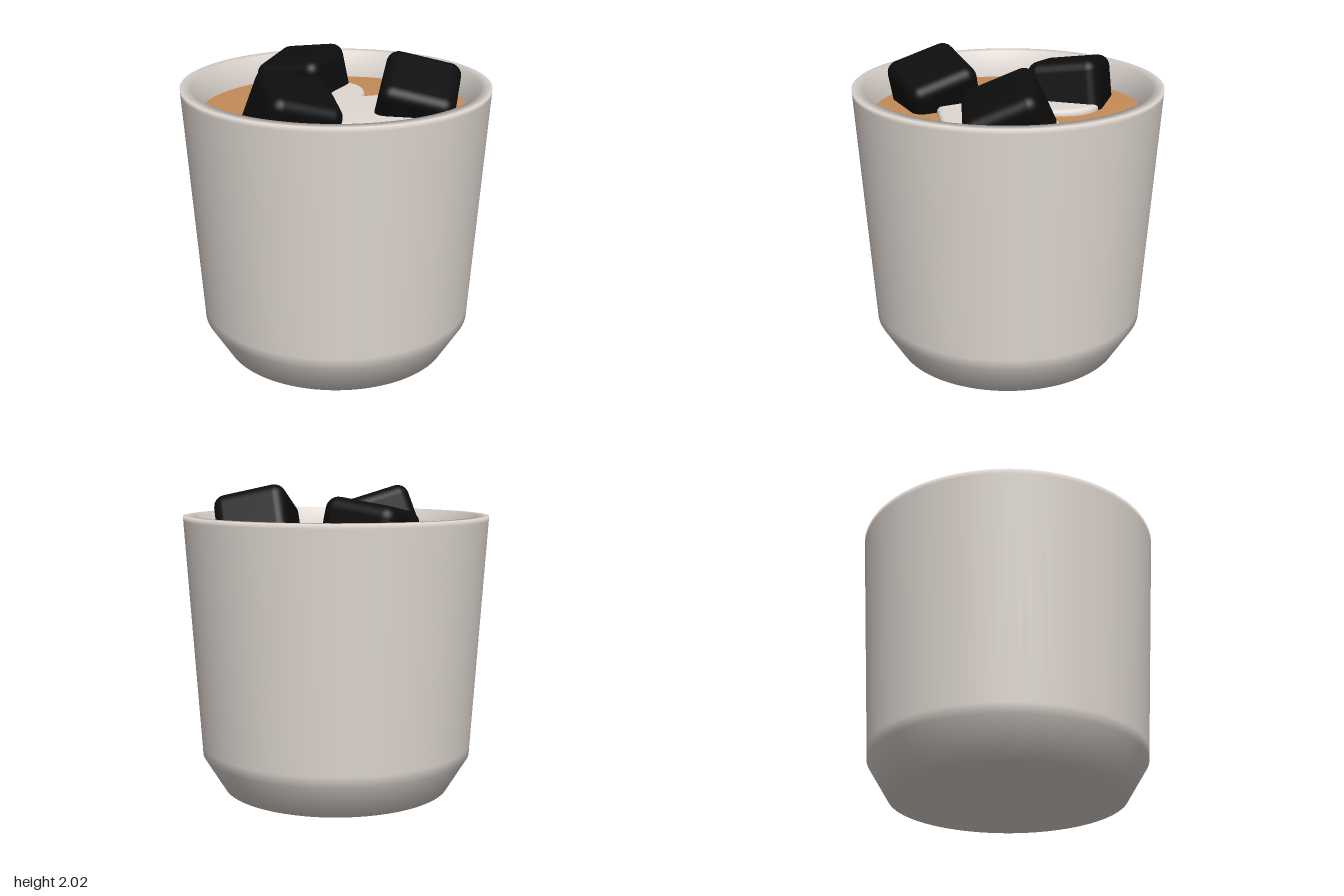
import * as THREE from 'three';
import { mergeVertices, toCreasedNormals } from 'three/addons/utils/BufferGeometryUtils.js';
import { RoundedBoxGeometry } from 'three/addons/geometries/RoundedBoxGeometry.js';

const LIQUID_Y = 1.64;

function material(name, color) {
  const m = new THREE.MeshStandardMaterial({ color });
  m.name = name;
  return m;
}

function lathe(points) {
  return new THREE.LatheGeometry(points.map(([r, y]) => new THREE.Vector2(r, y)), 96);
}

// Heart with rounded edges, lying flat on the drink
function heartGeometry() {
  const s = new THREE.Shape();
  s.moveTo(0, 0.28);
  s.bezierCurveTo(0.08, 0.42, 0.16, 0.5, 0.28, 0.5);
  s.bezierCurveTo(0.5, 0.5, 0.66, 0.3, 0.66, 0.1);
  s.bezierCurveTo(0.66, -0.08, 0.42, -0.25, 0.3, -0.35);
  s.lineTo(0, -0.6);
  s.lineTo(-0.3, -0.35);
  s.bezierCurveTo(-0.42, -0.25, -0.66, -0.08, -0.66, 0.1);
  s.bezierCurveTo(-0.66, 0.3, -0.5, 0.5, -0.28, 0.5);
  s.bezierCurveTo(-0.16, 0.5, -0.08, 0.42, 0, 0.28);
  let g = new THREE.ExtrudeGeometry(s, {
    depth: 0.03, curveSegments: 16, bevelEnabled: true,
    bevelThickness: 0.03, bevelSize: 0.03, bevelOffset: -0.03, bevelSegments: 4,
  });
  g.deleteAttribute('uv');
  g.deleteAttribute('normal');
  g = toCreasedNormals(mergeVertices(g, 1e-4), 0.8);
  return g.rotateX(-Math.PI / 2);
}

export function createModel() {
  const group = new THREE.Group();
  const ceramic = material('ceramic', 0xe0d8d2);
  const coffee = material('coffee', 0xc68c58);
  const black = material('black', 0x0d0d0d);

  function add(name, geometry, mat) {
    const mesh = new THREE.Mesh(geometry, mat);
    mesh.name = name;
    group.add(mesh);
    return mesh;
  }

  // Tapered cup: base, bevelled foot, wall, rim and inner wall in one profile
  add('cup', lathe([
    [0, 0], [0.76, 0], [0.9, 0.23], [0.904, 0.3], [0.998, 1.79], [1, 1.82],
    [0.925, 1.82], [0.885, 1.62], [0.88, 1.5],
  ]), ceramic);

  // Surface of the drink, softly shaded towards its edge
  add('drink', lathe([[0.886, 1.58], [0.886, LIQUID_Y], [0, LIQUID_Y]]), coffee);

  add('foamHeart', heartGeometry(), ceramic).position.y = LIQUID_Y - 0.02;

  // Floating rounded cubes: position, size, then yaw followed by tilts
  const cubes = [
    { name: 'rightCube', pos: [-0.46, 1.675, -0.22], size: 0.48, rot: [0.17, 0.26, 0.11] },
    { name: 'leftCube', pos: [0.43, 1.69, -0.28], size: 0.49, rot: [0.25, 0.5, -0.4] },
    { name: 'frontCube', pos: [0.07, 1.69, 0.52], size: 0.48, rot: [-0.1, -0.53, -0.38] },
  ];
  for (const { name, pos, size, rot } of cubes) {
    const cube = add(name, new RoundedBoxGeometry(size, size, size, 4, 0.08), black);
    cube.position.set(...pos);
    cube.rotation.set(...rot, 'XZY');
  }

  return group;
}
